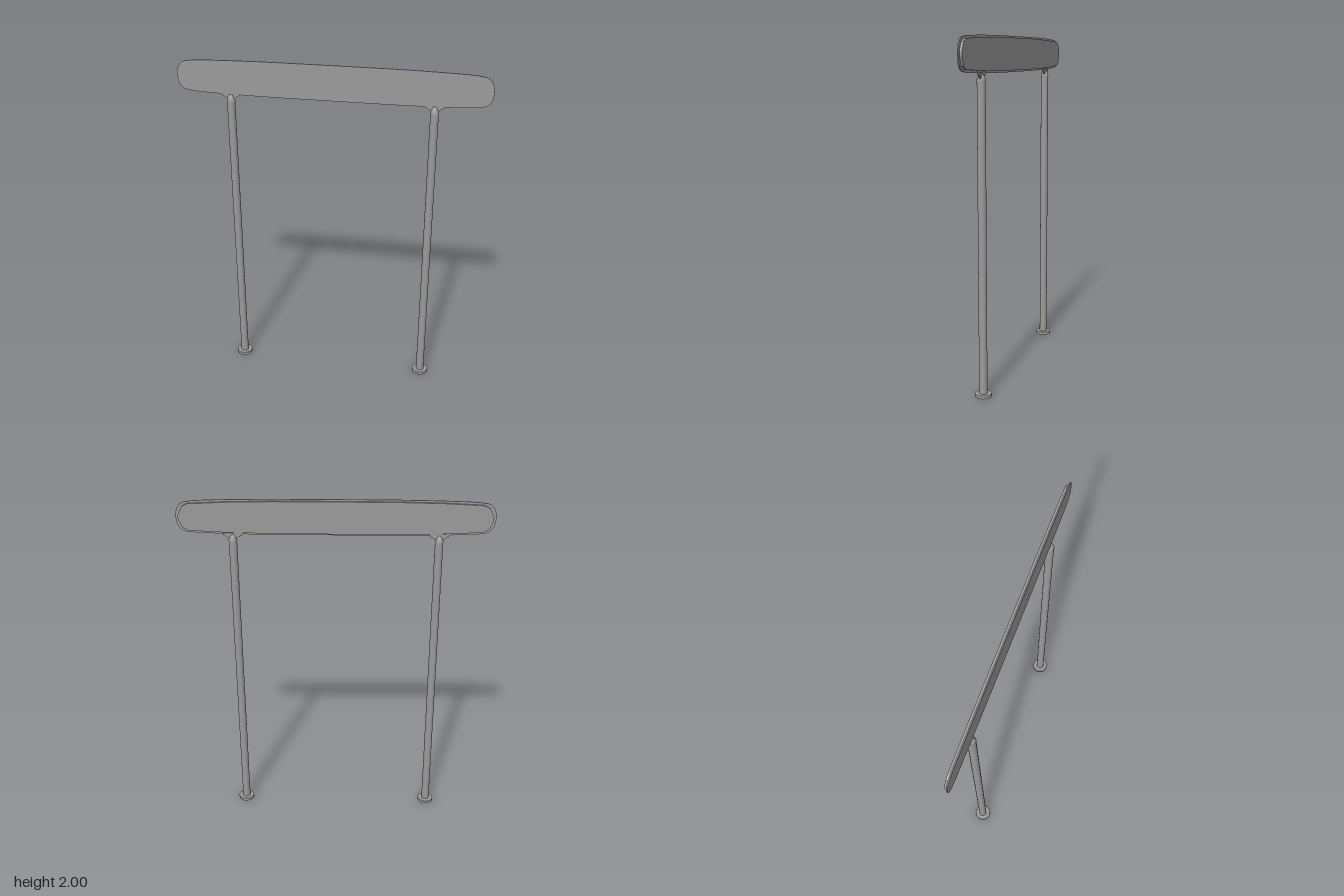
import * as THREE from 'three';

// Board outline from one quadrant of points, mirrored around (0, cy)
function outline(quadrant, cy, steps) {
  const q = quadrant.map(([x, y]) => new THREE.Vector2(x, y));
  const pts = steps ? new THREE.SplineCurve(q).getPoints(steps) : q;
  const flipped = [...pts].reverse();
  const loop = [
    ...pts.map((p) => [p.x, p.y]),
    ...flipped.map((p) => [-p.x, p.y]),
    ...pts.map((p) => [-p.x, -p.y]),
    ...flipped.map((p) => [p.x, -p.y]),
  ].filter(([x, y], i, a) => {
    const [px, py] = a[(i + a.length - 1) % a.length];
    return Math.hypot(x - px, y - py) > 1e-5;
  });
  return new THREE.Shape(loop.map(([x, y]) => new THREE.Vector2(x, y + cy)));
}

function plate(name, shape, z0, z1, material) {
  const geometry = new THREE.ExtrudeGeometry(shape, { depth: z1 - z0, bevelEnabled: false });
  geometry.translate(0, 0, z0);
  const mesh = new THREE.Mesh(geometry, material);
  mesh.name = name;
  return mesh;
}

function createPost(x, name, metal) {
  const post = new THREE.Group();
  post.name = name;
  post.position.x = x;

  const add = (part, geometry, y) => {
    const mesh = new THREE.Mesh(geometry, metal);
    mesh.name = part;
    mesh.position.y = y;
    post.add(mesh);
  };

  // Round foot, tube and tapered cap
  add('footFlange', new THREE.CylinderGeometry(0.048, 0.048, 0.018, 24), 0.009);
  add('tube', new THREE.CylinderGeometry(0.0235, 0.0235, 1.745, 24), 0.8875);
  const cap = [[0.0245, 0], [0.0245, 0.006], [0.021, 0.02], [0.014, 0.033], [0.009, 0.042], [0, 0.042]];
  add('cap', new THREE.LatheGeometry(cap.map(([r, y]) => new THREE.Vector2(r, y)), 24), 1.755);

  // Thin flared bracket that carries the board
  const flare = new THREE.Shape();
  flare.moveTo(-0.02, 1.765);
  flare.lineTo(0.02, 1.765);
  flare.quadraticCurveTo(0.028, 1.783, 0.052, 1.79);
  flare.lineTo(0.056, 1.805);
  flare.lineTo(-0.056, 1.805);
  flare.lineTo(-0.052, 1.79);
  flare.quadraticCurveTo(-0.028, 1.783, -0.02, 1.765);
  post.add(plate('bracket', flare, -0.008, 0.003, metal));
  return post;
}

export function createModel() {
  const model = new THREE.Group();
  model.name = 'signOnPosts';
  const metal = new THREE.MeshStandardMaterial({ color: 0x9a9a9a });
  metal.name = 'grey metal';

  // Front board with bowed long edges and rounded ends
  const front = [[0.9, 0], [0.897, 0.03], [0.885, 0.06], [0.862, 0.08], [0.83, 0.088],
    [0.76, 0.094], [0.6, 0.099], [0.36, 0.1025], [0, 0.103]];
  model.add(plate('frontBoard', outline(front, 1.897, 32), -0.001, 0.006, metal));

  // Smaller backing panel with angular ends
  const back = [[0.885, 0.012], [0.862, 0.06], [0.83, 0.077], [0.6, 0.088], [0.36, 0.092], [0, 0.093]];
  model.add(plate('backPanel', outline(back, 1.897, 0), -0.015, -0.001, metal));

  model.add(createPost(0.583, 'leftPost', metal), createPost(-0.588, 'rightPost', metal));
  return model;
}
